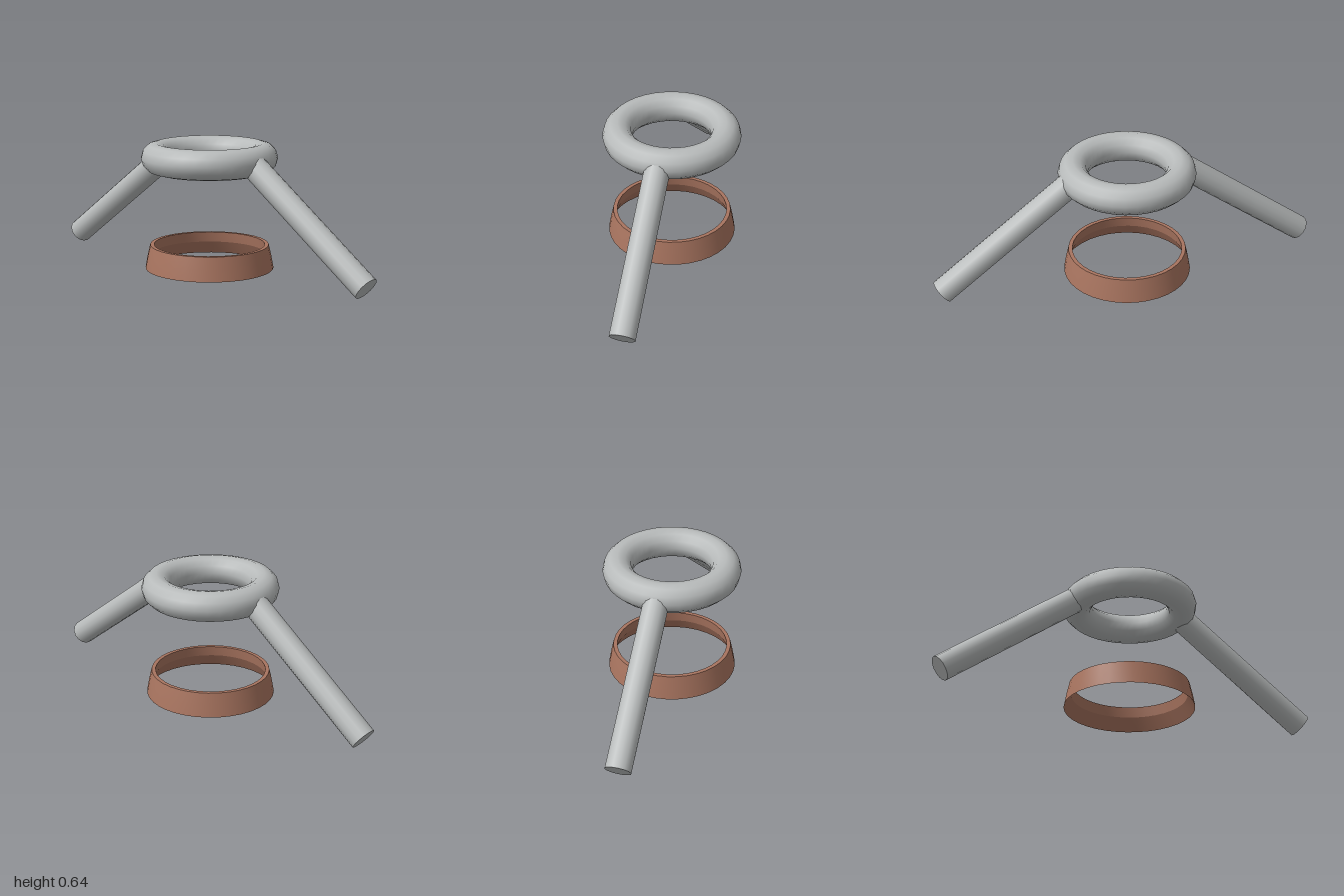
import * as THREE from 'three';
import { toCreasedNormals } from 'three/addons/utils/BufferGeometryUtils.js';

const RING_RADIUS = 0.268, TUBE_RADIUS = 0.075, RING_HEIGHT = 0.563;

export function createModel() {
  const model = new THREE.Group();
  model.name = 'burnerStand';

  const metal = new THREE.MeshStandardMaterial({ color: 0xb8bbbb });
  metal.name = 'grey metal';
  const clay = new THREE.MeshStandardMaterial({ color: 0xa8745f });
  clay.name = 'copper brown';

  const add = (name, geometry, material) => {
    const mesh = new THREE.Mesh(geometry, material);
    mesh.name = name;
    model.add(mesh);
    return mesh;
  };

  // Raised ring
  const ring = add('topRing', new THREE.TorusGeometry(RING_RADIUS, TUBE_RADIUS, 12, 36), metal);
  ring.rotation.x = Math.PI / 2;
  ring.position.y = RING_HEIGHT;

  // Sloping legs, from the core of the ring down to the ground
  for (const side of [1, -1]) {
    const top = new THREE.Vector3(side * RING_RADIUS, RING_HEIGHT, 0);
    const foot = new THREE.Vector3(side * 0.963, 0.051, 0);
    const axis = top.clone().sub(foot);
    const leg = add(side > 0 ? 'leftLeg' : 'rightLeg',
      new THREE.CylinderGeometry(0.0635, 0.0635, axis.length(), 14), metal);
    leg.position.copy(top).add(foot).multiplyScalar(0.5);
    leg.rotation.z = Math.atan2(-axis.x, axis.y);
  }

  // Tapered collar on the ground, with a lip inside its top
  const profile = [
    [0.325, 0], [0.314, 0.06], [0.3, 0.12], [0.28, 0.12], [0.288, 0.067], [0.325, 0],
  ].map(([r, y]) => new THREE.Vector2(r, y));
  const collar = new THREE.LatheGeometry(profile, 36);
  add('baseCollar', toCreasedNormals(collar, 0.3), clay);

  return model;
}
